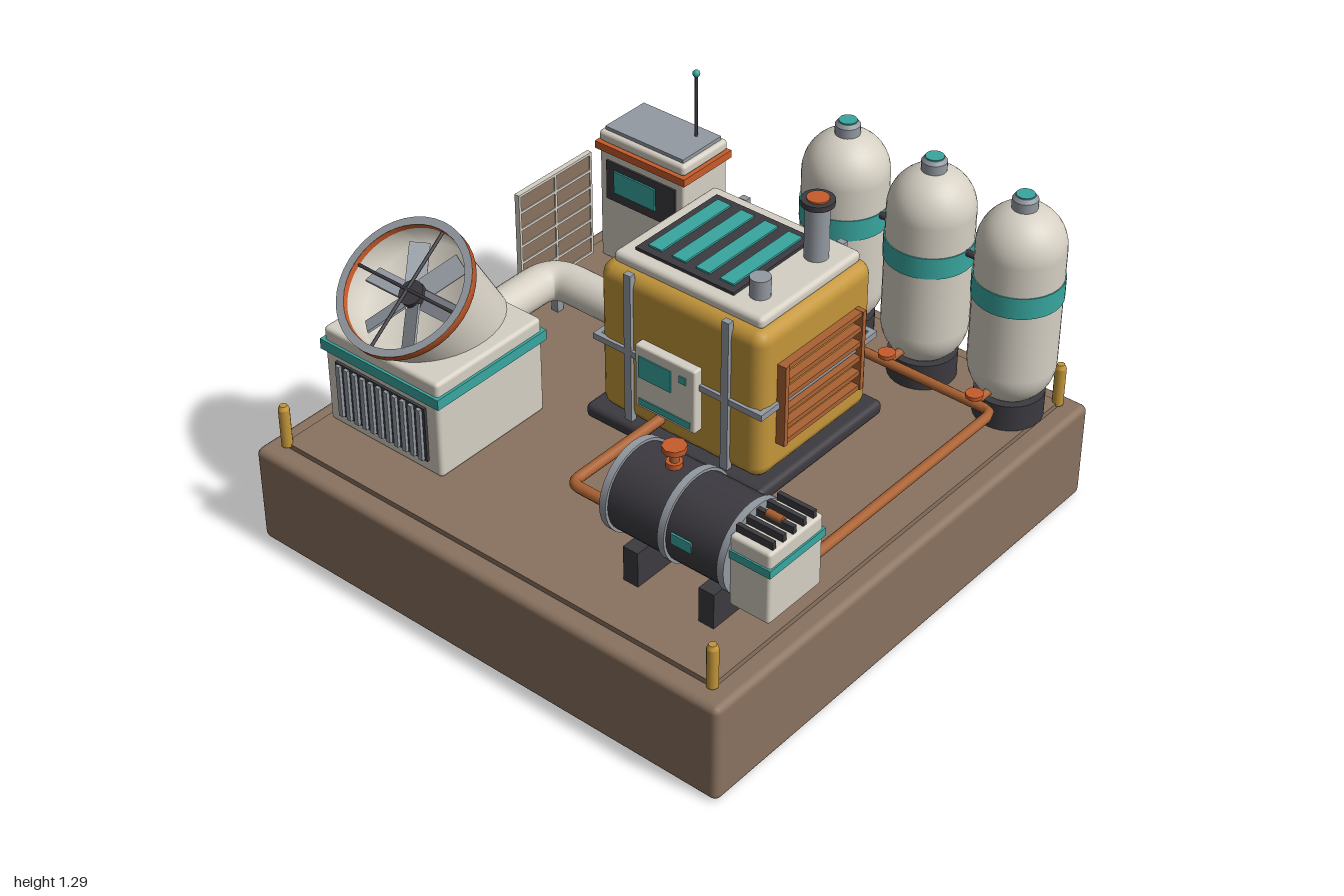
import * as THREE from 'three';
import { RoundedBoxGeometry } from 'three/addons/geometries/RoundedBoxGeometry.js';

const material = (name, color, side = THREE.FrontSide) => {
  const m = new THREE.MeshStandardMaterial({ color, side });
  m.name = name;
  return m;
};

export function createModel() {
  const brown = material('earth brown', 0x8a725f);
  const yellow = material('ochre yellow', 0xc4963a);
  const cream = material('warm cream', 0xd6d0c4, THREE.DoubleSide);
  const teal = material('teal', 0x38a69f);
  const orange = material('orange', 0xc75c2b, THREE.DoubleSide);
  const copper = material('copper', 0xab6233);
  const dark = material('charcoal', 0x3c3a40);
  const grey = material('steel grey', 0x949aa2);

  const root = new THREE.Group();
  root.name = 'powerStation';
  let group = root;
  const section = (name) => {
    group = new THREE.Group();
    group.name = name;
    root.add(group);
    return group;
  };
  const add = (name, geo, mat, x = 0, y = 0, z = 0) => {
    const m = new THREE.Mesh(geo, mat);
    m.name = name;
    m.position.set(x, y, z);
    group.add(m);
    return m;
  };
  // Box given by its extents, with optional rounded edges
  const box = (name, mat, [x0, x1], [y0, y1], [z0, z1], r = 0) => {
    const size = [x1 - x0, y1 - y0, z1 - z0];
    const geo = r ? new RoundedBoxGeometry(...size, 2, r) : new THREE.BoxGeometry(...size);
    return add(name, geo, mat, (x0 + x1) / 2, (y0 + y1) / 2, (z0 + z1) / 2);
  };
  // Upright cylinder from y0 to y1
  const post = (name, mat, x, z, r, y0, y1, sides = 20, rTop = r) =>
    add(name, new THREE.CylinderGeometry(rTop, r, y1 - y0, sides), mat, x, (y0 + y1) / 2, z);
  // Cylinder along x
  const drum = (name, mat, x0, x1, y, z, r, sides = 32) => {
    const m = add(name, new THREE.CylinderGeometry(r, r, x1 - x0, sides), mat, (x0 + x1) / 2, y, z);
    m.rotation.z = Math.PI / 2;
    return m;
  };
  // Pipe through points, with rounded bends
  const pipe = (name, mat, pts, r, bend = 0.04, sides = 10) => {
    const p = pts.map((a) => new THREE.Vector3(...a));
    const path = new THREE.CurvePath();
    let last = p[0];
    for (let i = 1; i < p.length - 1; i++) {
      const a = p[i].clone().add(p[i - 1].clone().sub(p[i]).setLength(bend));
      const b = p[i].clone().add(p[i + 1].clone().sub(p[i]).setLength(bend));
      path.add(new THREE.LineCurve3(last, a));
      path.add(new THREE.QuadraticBezierCurve3(a, p[i], b));
      last = b;
    }
    path.add(new THREE.LineCurve3(last, p[p.length - 1]));
    return add(name, new THREE.TubeGeometry(path, 64, r, sides), mat);
  };

  // Base with raised deck and corner posts
  section('base');
  box('plinth', brown, [-1, 1], [0, 0.38], [-1, 1], 0.025);
  box('deck', brown, [-0.925, 0.925], [0.37, 0.4], [-0.925, 0.925]);
  for (const x of [-0.92, 0.92]) for (const z of [-0.925, 0.925]) {
    post('cornerPost', yellow, x, z, 0.02, 0.39, 0.54, 12);
    post('cornerPostTip', yellow, x, z, 0.02, 0.54, 0.555, 12, 0.013);
  }

  // Generator housing
  section('generator');
  box('skid', dark, [-0.255, 0.505], [0.4, 0.455], [-0.485, 0.175], 0.02);
  box('housing', yellow, [-0.22, 0.47], [0.45, 1.03], [-0.45, 0.14], 0.05);
  box('roof', cream, [-0.185, 0.435], [1.02, 1.065], [-0.42, 0.1], 0.018);
  box('roofGrille', dark, [-0.13, 0.28], [1.06, 1.076], [-0.365, 0.05]);
  for (let i = 0; i < 4; i++) {
    const x = -0.073 + i * 0.1;
    box('roofVane', teal, [x - 0.028, x + 0.028], [1.074, 1.083], [-0.335, 0.02]);
  }
  for (const x of [-0.08, 0.33]) {
    for (const z of [-0.452, 0.142]) box('strap', grey, [x - 0.015, x + 0.015], [0.45, 1.04], [z - 0.012, z + 0.012]);
  }
  for (const z of [-0.452, 0.142]) box('belt', grey, [-0.232, 0.482], [0.72, 0.743], [z - 0.01, z + 0.01]);
  for (const x of [-0.222, 0.472]) box('sideBelt', grey, [x - 0.01, x + 0.01], [0.72, 0.743], [-0.46, 0.15]);
  post('exhaust', grey, 0.34, -0.3, 0.042, 1.05, 1.27, 24);
  post('exhaustCap', dark, 0.34, -0.3, 0.057, 1.265, 1.285, 24);
  post('exhaustTop', orange, 0.34, -0.3, 0.038, 1.28, 1.291, 24);
  post('vent', grey, 0.34, -0.01, 0.036, 1.05, 1.135, 20);
  // Side louvre
  for (const z of [-0.355, 0.05]) box('louvreSide', copper, [0.465, 0.505], [0.575, 0.89], [z - 0.009, z + 0.009]);
  for (let i = 0; i < 6; i++) {
    const y = 0.585 + i * 0.059;
    box('louvreSlat', copper, [0.465, 0.5], [y - 0.009, y + 0.009], [-0.36, 0.055]);
  }
  // Control panel
  box('controlBox', cream, [-0.03, 0.225], [0.555, 0.805], [0.13, 0.175], 0.008);
  box('screen', teal, [-0.012, 0.125], [0.68, 0.765], [0.17, 0.179]);
  box('button', teal, [0.16, 0.188], [0.738, 0.765], [0.17, 0.179]);
  box('statusStrip', teal, [-0.012, 0.207], [0.57, 0.595], [0.17, 0.179]);

  // Fan unit with side and front grilles
  section('fanUnit');
  box('fanBox', cream, [-0.905, -0.385], [0.4, 0.78], [0.235, 0.735], 0.015);
  box('fanBand', teal, [-0.915, -0.375], [0.69, 0.73], [0.225, 0.745]);
  box('frontGrille', dark, [-0.85, -0.44], [0.45, 0.665], [0.73, 0.745]);
  box('sideGrille', dark, [-0.917, -0.9], [0.45, 0.665], [0.28, 0.69]);
  for (let i = 0; i < 11; i++) {
    const t = 0.02 + i * 0.037;
    box('frontBar', grey, [-0.85 + t - 0.009, -0.85 + t + 0.009], [0.455, 0.66], [0.74, 0.757]);
    box('sideBar', grey, [-0.928, -0.91], [0.455, 0.66], [0.28 + t - 0.009, 0.28 + t + 0.009]);
  }
  pipe('airDuct', cream, [[-0.2, 0.66, -0.105], [-0.645, 0.66, -0.105], [-0.645, 0.66, 0.25]], 0.07, 0.1, 24);

  // Tilted cowl, built along its own y axis with the mouth at y = 0
  const cowl = section('cowl');
  cowl.position.set(-0.645, 0.985, 0.605);
  cowl.rotation.x = 0.644;
  const lathe = (pts) => new THREE.LatheGeometry(pts.map((p) => new THREE.Vector2(...p)), 40);
  add('cowlShell', lathe([[0.195, -0.4], [0.232, -0.01]]), cream);
  add('cowlLining', lathe([[0.222, -0.005], [0.212, -0.13], [0, -0.13]]), cream);
  add('cowlRim', lathe([[0.23, -0.035], [0.248, -0.033], [0.248, -0.002]]), orange);
  add('cowlInnerRim', lathe([[0.222, -0.002], [0.22, -0.025]]), orange);
  const lip = add('cowlLip', new THREE.RingGeometry(0.221, 0.249, 40), grey);
  lip.rotation.x = -Math.PI / 2;
  post('fanHub', dark, 0, 0, 0.045, -0.1, -0.05, 20);
  for (let i = 0; i < 6; i++) {
    const arm = new THREE.Group();
    arm.name = 'fanBlade';
    const blade = new THREE.Mesh(new THREE.BoxGeometry(0.15, 0.008, 0.07), grey);
    blade.name = 'blade';
    blade.position.set(0.115, -0.075, 0);
    blade.rotation.x = 0.45;
    arm.rotation.y = (i * Math.PI) / 3;
    arm.add(blade);
    group.add(arm);
  }
  drum('guardBar', dark, -0.222, 0.222, -0.025, 0, 0.006, 8);
  drum('guardBar', dark, -0.222, 0.222, -0.025, 0, 0.006, 8).rotation.set(Math.PI / 2, 0, 0);

  // Horizontal motor drum
  section('motor');
  drum('motorBody', dark, 0.325, 0.81, 0.655, 0.585, 0.153);
  for (const x of [0.33, 0.565, 0.8]) drum('motorBand', grey, x - 0.013, x + 0.013, 0.655, 0.585, 0.163);
  for (const x of [0.432, 0.738]) box('foot', dark, [x - 0.03, x + 0.03], [0.4, 0.535], [0.435, 0.735]);
  box('endBox', cream, [0.808, 0.965], [0.51, 0.785], [0.455, 0.715], 0.012);
  box('endBand', teal, [0.806, 0.971], [0.7, 0.73], [0.449, 0.721]);
  for (let i = 0; i < 5; i++) {
    const z = 0.487 + i * 0.049;
    box('coolingFin', dark, [0.815, 0.955], [0.78, 0.812], [z - 0.008, z + 0.008]);
  }
  drum('finPipe', copper, 0.85, 0.91, 0.81, 0.583, 0.014, 10);
  box('motorLabel', teal, [0.6, 0.68], [0.655, 0.695], [0.734, 0.741]);
  post('valveStem', copper, 0.485, 0.585, 0.016, 0.8, 0.875, 10);
  post('valveCollar', orange, 0.485, 0.585, 0.028, 0.805, 0.825, 10);
  post('valveWheel', orange, 0.485, 0.585, 0.041, 0.865, 0.885, 8);

  // Gas tanks with manifold
  section('tanks');
  const tankXs = [0.1, 0.457, 0.817];
  for (const x of tankXs) {
    post('tankBase', dark, x, -0.775, 0.122, 0.4, 0.5, 28);
    add('tank', new THREE.CapsuleGeometry(0.152, 0.45, 10, 32), cream, x, 0.845, -0.775);
    post('tankBand', teal, x, -0.775, 0.156, 0.88, 0.96, 32);
    post('tankNeck', grey, x, -0.775, 0.044, 1.2, 1.25, 20);
    post('tankCap', grey, x, -0.775, 0.044, 1.25, 1.263, 20, 0.034);
    post('tankCapTop', teal, x, -0.775, 0.032, 1.26, 1.267, 20);
    pipe('tankOutlet', copper, [[x, 0.55, -0.68], [x, 0.55, -0.56]], 0.015);
    post('manifoldStem', copper, x, -0.56, 0.012, 0.55, 0.585, 8);
    post('manifoldWheel', orange, x, -0.56, 0.031, 0.578, 0.592, 10);
  }
  drum('tankLink', dark, 0.1, 0.817, 0.95, -0.775, 0.013, 10);

  // Copper pipework
  section('pipework');
  pipe('fuelPipe', copper, [[0.05, 0.55, -0.56], [0.895, 0.55, -0.56], [0.895, 0.55, 0.43], [0.895, 0.63, 0.49]], 0.018);
  pipe('generatorPipe', copper, [[0.05, 0.515, 0.13], [0.05, 0.515, 0.585], [0.31, 0.515, 0.585], [0.34, 0.62, 0.585]], 0.02);

  // Control cabinet with antenna
  section('cabinet');
  box('cabinetBody', cream, [-0.865, -0.475], [0.4, 0.865], [-0.845, -0.605], 0.01);
  box('cabinetBand', orange, [-0.877, -0.463], [0.855, 0.885], [-0.855, -0.593]);
  box('cabinetRoof', cream, [-0.868, -0.472], [0.885, 0.93], [-0.848, -0.602], 0.015);
  box('cabinetTop', grey, [-0.85, -0.49], [0.925, 0.944], [-0.83, -0.62]);
  box('cabinetPanel', dark, [-0.83, -0.51], [0.66, 0.82], [-0.61, -0.598]);
  box('cabinetScreen', teal, [-0.79, -0.6], [0.7, 0.79], [-0.6, -0.592]);
  post('antenna', dark, -0.56, -0.775, 0.006, 0.94, 1.2, 8);
  add('antennaTip', new THREE.SphereGeometry(0.014, 12, 8), teal, -0.56, 1.197, -0.775);

  // Slatted screen on a post
  section('screenPanel');
  box('screenPost', grey, [-0.765, -0.735], [0.4, 0.6], [-0.25, -0.22]);
  box('screenCore', brown, [-0.756, -0.744], [0.56, 0.96], [-0.415, -0.055]);
  for (let i = 0; i < 7; i++) {
    const y = 0.556 + i * 0.0685;
    box('screenSlat', cream, [-0.76, -0.74], [y - 0.005, y + 0.005], [-0.42, -0.05]);
  }
  for (const z of [-0.417, -0.235, -0.053]) box('screenUpright', cream, [-0.76, -0.74], [0.552, 0.972], [z - 0.005, z + 0.005]);

  return root;
}
